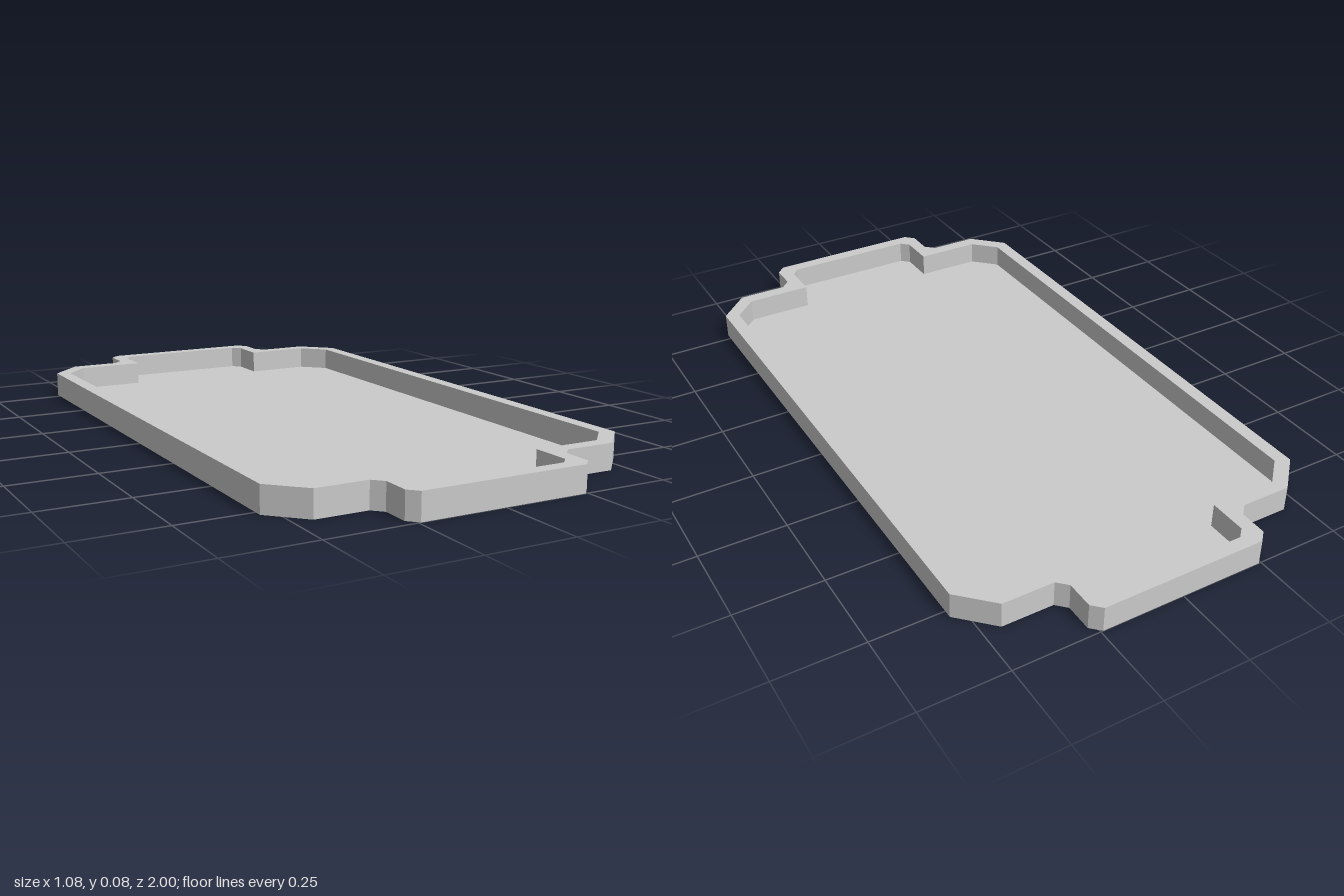
import * as THREE from 'three';

// Mirror one quarter of an outline (listed from the end to the side) into all
// four, running counter-clockwise.
function mirrorOutline(quarter) {
  const v = (sx, sz, list) => list.map(([x, z]) => new THREE.Vector2(sx * x, sz * z));
  const back = [...quarter].reverse();
  return [
    ...v(1, -1, quarter),
    ...v(1, 1, back),
    ...v(-1, 1, quarter),
    ...v(-1, -1, back),
  ];
}

// Extrude a shape straight up from a given height.
function slab(name, shape, bottom, top, material) {
  const geometry = new THREE.ExtrudeGeometry(shape, { depth: top - bottom, bevelEnabled: false });
  geometry.rotateX(-Math.PI / 2);
  geometry.translate(0, bottom, 0);
  const mesh = new THREE.Mesh(geometry, material);
  mesh.name = name;
  return mesh;
}

export function createModel() {
  const group = new THREE.Group();
  group.name = 'tray';
  const material = new THREE.MeshStandardMaterial({ color: 0xcccccc, flatShading: true });

  const height = 0.075;
  const floorThickness = 0.004;

  const outer = mirrorOutline([
    [0.243, 1.0], [0.27, 0.973], [0.27, 0.893],
    [0.298, 0.865], [0.448, 0.865], [0.54, 0.773],
  ]);
  const inner = mirrorOutline([
    [0.204, 0.96], [0.229, 0.935], [0.229, 0.824],
    [0.43, 0.824], [0.499, 0.755],
  ]);

  // Thin floor plate
  group.add(slab('floor', new THREE.Shape(outer), 0, floorThickness, material));

  // Rim wall around the floor
  const rim = new THREE.Shape(outer);
  rim.holes.push(new THREE.Path(inner));
  group.add(slab('rimWall', rim, floorThickness, height, material));

  return group;
}
